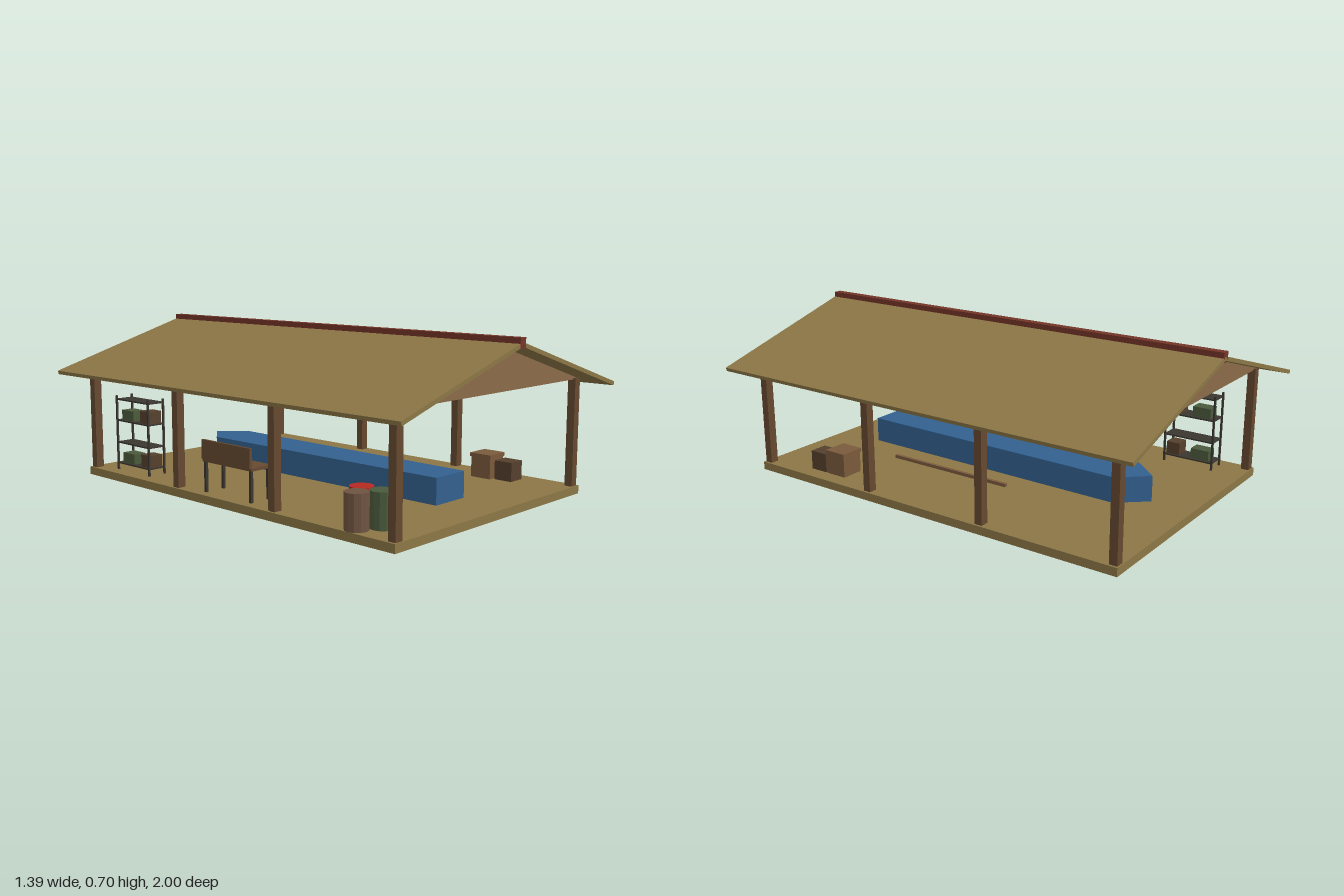
import * as THREE from 'three';

const mat = (color) => new THREE.MeshStandardMaterial({ color, flatShading: true });
const TAN = mat(0x8b7645), POST = mat(0x654830), GABLE = mat(0x8b6a4a), RIDGE = mat(0x743528);
const BLUE = mat(0x33608f), RED = mat(0xb52a22), GREEN = mat(0x4a5a3c), BROWN = mat(0x6e5340);
const WOOD = mat(0x664a2f), CRATE = mat(0x7a5a3c), DARK = mat(0x553f2c), METAL = mat(0x3a3630);

const FLOOR = 0.035;

export function createModel() {
  const root = new THREE.Group();
  const group = (name, x = 0, z = 0) => {
    const g = new THREE.Group();
    g.name = name;
    g.position.set(x, FLOOR, z);
    root.add(g);
    return g;
  };
  const add = (parent, name, geometry, material, x = 0, y = 0, z = 0) => {
    const m = new THREE.Mesh(geometry, material);
    m.name = name;
    m.position.set(x, y, z);
    parent.add(m);
    return m;
  };
  // box whose y is measured to its underside
  const box = (parent, name, material, w, h, d, x, y, z) =>
    add(parent, name, new THREE.BoxGeometry(w, h, d), material, x, y + h / 2, z);
  const extrude = (points, depth) => new THREE.ExtrudeGeometry(
    new THREE.Shape(points.map(([x, y]) => new THREE.Vector2(x, y))), { depth, bevelEnabled: false });

  // floor slab and posts
  box(root, 'floor', TAN, 1.206, FLOOR, 1.81, 0, 0, 0);
  for (const x of [-0.575, 0.575])
    for (const z of [-0.882, -0.289, 0.289, 0.882])
      box(root, 'post', POST, 0.036, 0.458, 0.034, x, FLOOR, z);

  // two pitched roof panels in one profile
  add(root, 'roof', extrude([
    [-0.695, 0.476], [-0.69, 0.46], [0, 0.667], [0.69, 0.46], [0.695, 0.476], [0, 0.684],
  ], 2), TAN, 0, 0, -1);
  box(root, 'ridgeCap', RIDGE, 0.036, 0.041, 2, 0, 0.66, 0);

  // gable triangles at both ends
  for (const z of [-0.882, 0.882])
    add(root, 'gable', extrude([[-0.6, 0.487], [0.6, 0.487], [0, 0.667]], 0.016), GABLE, 0, 0, z - 0.008);

  // covered boat with a pointed bow at the back; shape y becomes -z
  const hull = extrude([
    [-0.09, -0.685], [0.09, -0.685], [0.105, 0.6], [0, 0.72], [-0.105, 0.6],
  ], 0.11);
  hull.rotateX(-Math.PI / 2);
  add(root, 'boat', hull, BLUE, 0, FLOOR, 0);

  // loose beam lying on the floor
  box(root, 'looseBeam', CRATE, 0.014, 0.014, 0.61, 0.216, FLOOR, 0.155);

  // barrels
  const barrels = [[-0.557, 0.69, BROWN], [-0.48, 0.645, RED], [-0.477, 0.74, GREEN]];
  for (const [x, z, material] of barrels) {
    const g = group('barrel', x, z);
    add(g, 'barrelBody', new THREE.CylinderGeometry(0.047, 0.047, 0.14, 12), material, 0, 0.07, 0);
  }

  // crates
  const big = group('largeCrate', 0.485, 0.523);
  box(big, 'crateBody', CRATE, 0.1, 0.09, 0.098, 0, 0, 0);
  box(big, 'crateLid', CRATE, 0.108, 0.016, 0.106, 0, 0.09, 0);
  const small = group('smallCrate', 0.495, 0.625);
  box(small, 'crateBody', DARK, 0.08, 0.083, 0.085, 0, 0, 0);

  // workbench with a back panel along the side
  const bench = group('workbench', -0.51, 0);
  box(bench, 'benchTop', WOOD, 0.11, 0.012, 0.296, 0, 0.128, 0);
  box(bench, 'backPanel', WOOD, 0.012, 0.08, 0.29, -0.055, 0.14, 0);
  for (const x of [-0.046, 0.046])
    for (const z of [-0.136, 0.136]) box(bench, 'benchLeg', METAL, 0.012, 0.128, 0.012, x, 0, z);

  // storage rack
  const rack = group('rack', -0.502, -0.653);
  for (const x of [-0.041, 0.041])
    for (const z of [-0.114, 0.114]) box(rack, 'rackUpright', METAL, 0.008, 0.336, 0.008, x, 0, z);
  for (const y of [0.027, 0.121, 0.221, 0.316])
    box(rack, 'rackShelf', METAL, 0.084, 0.006, 0.23, 0, y, 0);
  // boxes on the lower and third shelves
  for (const y of [0.033, 0.227]) {
    box(rack, 'brownBox', DARK, 0.066, 0.055, 0.062, 0, y, 0.077);
    box(rack, 'greenBox', GREEN, 0.06, 0.045, 0.084, 0, y, -0.05);
  }

  return root;
}
